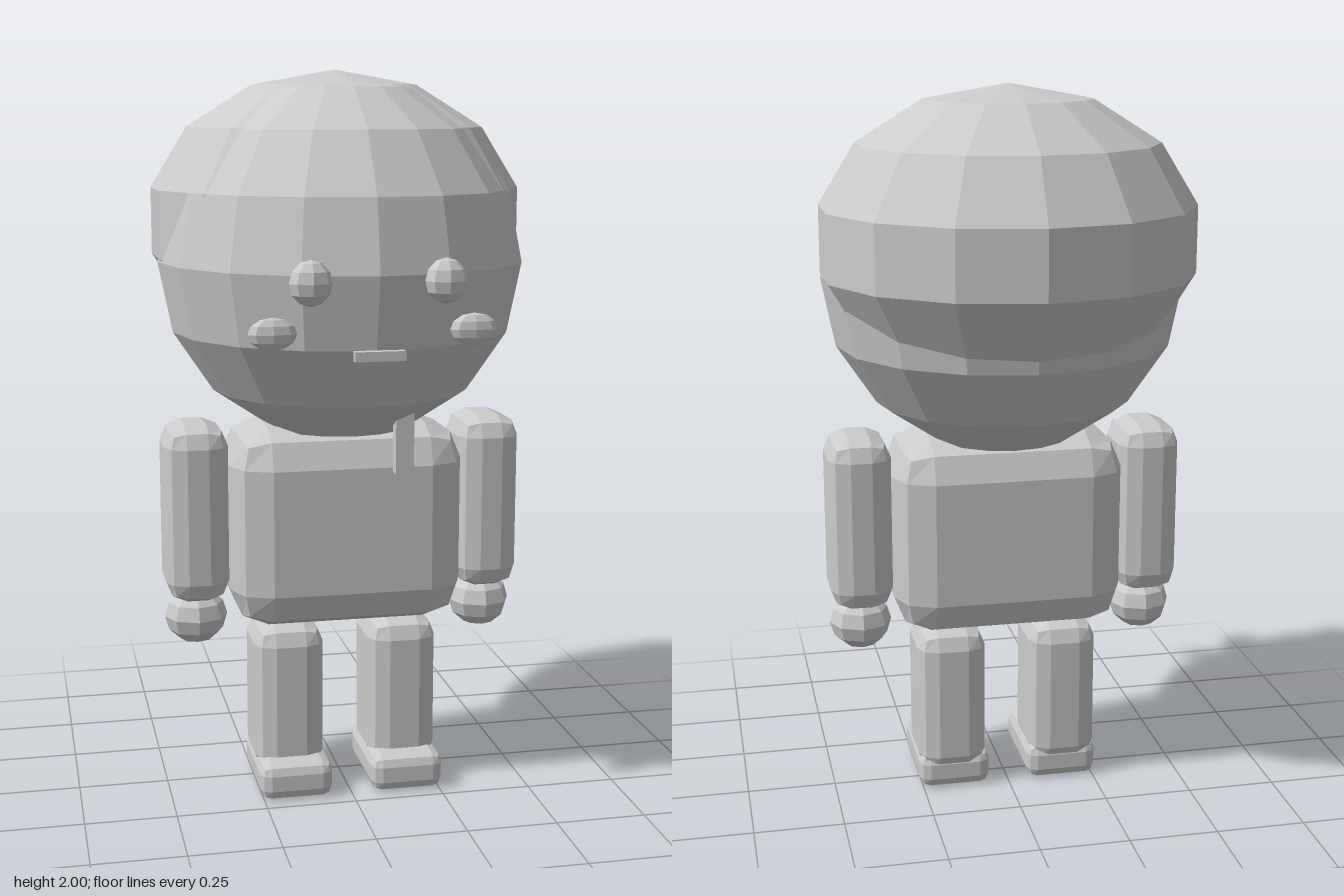
import * as THREE from 'three';
import { RoundedBoxGeometry } from 'three/addons/geometries/RoundedBoxGeometry.js';

const grey = new THREE.MeshStandardMaterial({ color: 0xcccccc, flatShading: true });
grey.name = 'plain grey';

export function createModel() {
  const model = new THREE.Group();
  model.name = 'figure';

  function add(name, geometry, x, y, z) {
    const mesh = new THREE.Mesh(geometry, grey);
    mesh.name = name;
    mesh.position.set(x, y, z);
    model.add(mesh);
    return mesh;
  }

  // Low-poly ellipsoid with a vertex column facing front and back
  function ball(name, [x, y, z], [rx, ry, rz], columns, rows) {
    const geometry = new THREE.SphereGeometry(1, columns, rows);
    geometry.rotateY(Math.PI / 2);
    geometry.scale(rx, ry, rz);
    return add(name, geometry, x, y, z);
  }

  // Box with two-step bevels, given by its centre and size
  function block(name, [x, y, z], [w, h, d], bevel) {
    return add(name, new RoundedBoxGeometry(w, h, d, 1, bevel), x, y, z);
  }

  // Head and the hair cap set slightly back over it
  ball('head', [0, 1.49, 0.015], [0.5, 0.5, 0.5], 16, 8);
  ball('hair', [0, 1.59, -0.065], [0.523, 0.41, 0.4975], 14, 7);

  // Mouth
  add('mouth', new THREE.BoxGeometry(0.13, 0.025, 0.025), 0, 1.292, 0.512);

  // Torso and the small strap on its left front
  block('torso', [0, 0.765, 0.02], [0.65, 0.56, 0.39], 0.105);
  add('strap', new THREE.BoxGeometry(0.05, 0.21, 0.036), 0.13, 1.035, 0.24);

  // Paired parts
  for (const [side, s] of [['left', 1], ['right', -1]]) {
    ball(side + 'Eye', [s * 0.172, 1.475, 0.502], [0.055, 0.058, 0.043], 8, 6);
    ball(side + 'Cheek', [s * 0.26, 1.345, 0.45], [0.063, 0.042, 0.025], 8, 6);
    block(side + 'Arm', [s * 0.412, 0.803, 0.018], [0.175, 0.495, 0.237], 0.058);
    ball(side + 'Hand', [s * 0.412, 0.498, 0.017], [0.088, 0.078, 0.086], 8, 6);
    block(side + 'Leg', [s * 0.162, 0.262, 0.022], [0.195, 0.435, 0.25], 0.055);
    block(side + 'Foot', [s * 0.158, 0.053, 0.06], [0.204, 0.104, 0.31], 0.03);
  }

  return model;
}
